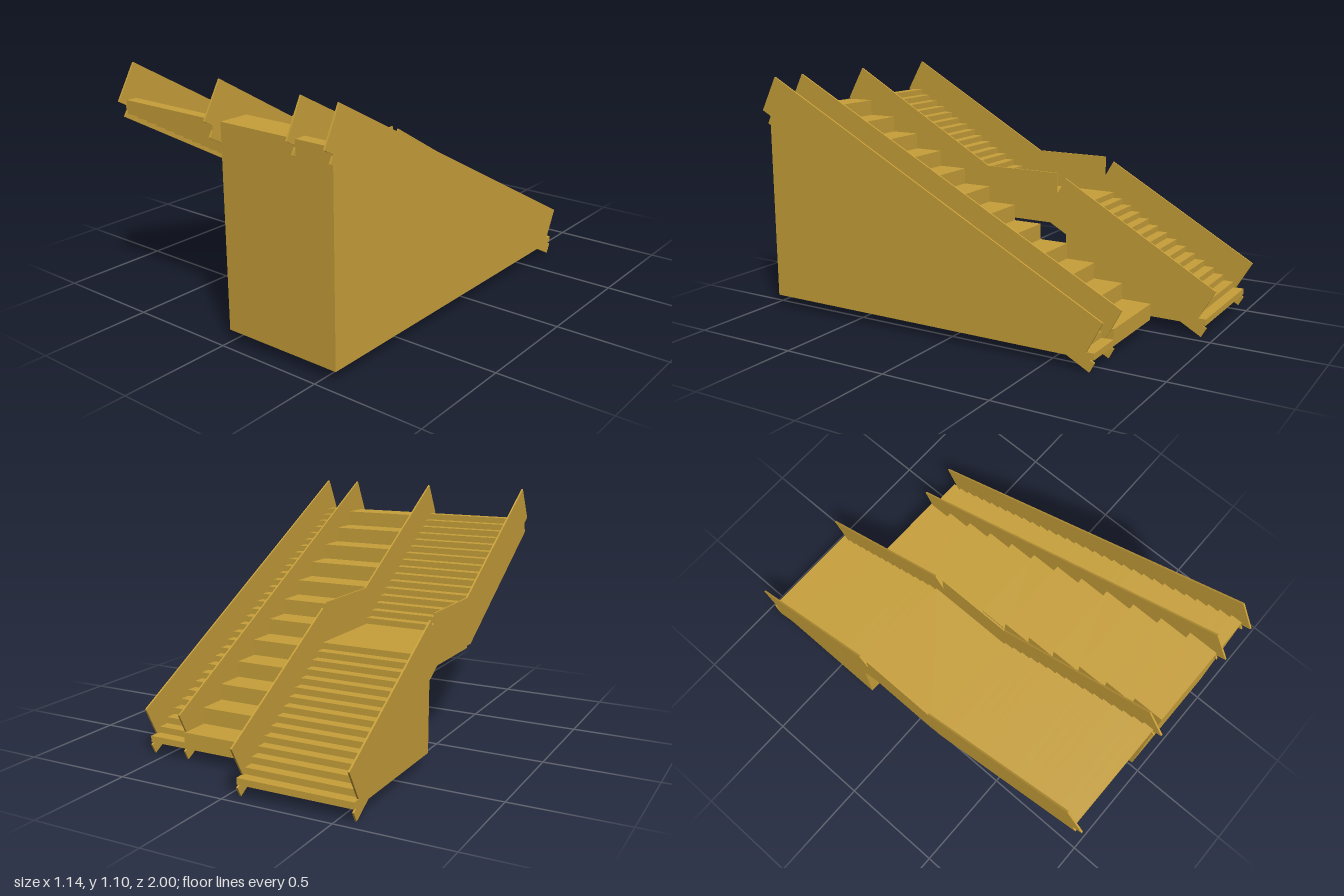
import * as THREE from 'three';

const ochre = new THREE.MeshStandardMaterial({ color: 0xc8a03a });
ochre.name = 'ochre';

const BASE = 0.06;          // underside of the solid flights
const TOP = 0.948;          // upper floor level
const RISE = (TOP - BASE) / 31;
const RAIL = 0.178;         // rail height, square to its slope
const STRINGER = 0.049;     // stringer depth below the rail
const THICK = 0.008;

// Extrude a side profile of [z, y] points between two x positions
function slab(name, points, x0, x1) {
  const shape = new THREE.Shape(points.map(([z, y]) => new THREE.Vector2(z, y)));
  const geo = new THREE.ExtrudeGeometry(shape, { depth: x1 - x0, bevelEnabled: false });
  geo.rotateY(-Math.PI / 2);
  geo.translate(x1, 0, 0);
  const mesh = new THREE.Mesh(geo, ochre);
  mesh.name = name;
  return mesh;
}

// Stepped outline climbing towards +z
function stepLine(z, y, count, tread, rise) {
  const pts = [[z, y]];
  for (let i = 0; i < count; i++) {
    pts.push([z + i * tread, y + (i + 1) * rise], [z + (i + 1) * tread, y + (i + 1) * rise]);
  }
  return pts;
}

// Solid flight with a flat underside
function solidFlight(name, z0, z1, count, rise, x0, x1) {
  const pts = stepLine(z0, BASE, count, (z1 - z0) / count, rise);
  return slab(name, [...pts, [z1, BASE]], x0, x1);
}

// Sloping band: starts at a point on its lower edge, ends cut square to the slope
function band([z0, y0], [z1, y1], height) {
  const a = Math.atan2(y1 - y0, z1 - z0);
  const dz = -Math.sin(a) * height, dy = Math.cos(a) * height;
  return [[z0, y0], [z1, y1], [z1 + dz, y1 + dy], [z0 + dz, y0 + dy]];
}

export function createModel() {
  const model = new THREE.Group();
  model.name = 'doubleStaircase';

  // Straight flight: broad seating steps beside narrow walking steps
  const straight = new THREE.Group();
  straight.name = 'straightFlight';
  straight.add(solidFlight('broadSteps', -0.72, 0.955, 12, (TOP - BASE) / 12, 0, 0.385));
  straight.add(solidFlight('narrowSteps', -0.72, 0.955, 31, RISE, 0.385, 0.569));
  for (const x of [0.381, 0.561]) {
    straight.add(slab('straightRail', band([-0.672, 0.063], [1.0, 0.947], RAIL), x, x + THICK));
    straight.add(slab('straightStringer', band([-0.70, 0.005], [0.97, 0.888], STRINGER), x, x + THICK));
  }
  model.add(straight);

  // Flight broken by a landing
  const broken = new THREE.Group();
  broken.name = 'landingFlight';
  const xL = -0.572, xR = -0.047, tread = 0.0492;
  const landing = BASE + 15 * RISE, zA = -0.27, zB = 0.167;
  broken.add(solidFlight('lowerSteps', -0.96, zA, 14, RISE, xL, xR));
  broken.add(slab('landing', [[zA, landing - 0.06], [zB, landing - 0.06], [zB, landing], [zA, landing]], xL, xR));

  // Open upper steps, each two risers thick
  for (let i = 0; i < 16; i++) {
    const z = zB + i * tread, y = landing + (i + 1) * RISE;
    broken.add(slab('upperStep', [[z, y - 0.06], [z + tread, y - 0.06], [z + tread, y], [z, y]], xL, xR));
  }

  // Rails and stringers on both sides
  for (const x of [xL, xR - THICK]) {
    const add = (name, pts) => broken.add(slab(name, pts, x, x + THICK));
    add('lowerRail', band([-0.911, 0.066], [-0.176, 0.491], RAIL));
    add('lowerStringer', band([-0.94, 0.005], [-0.152, 0.449], STRINGER));
    add('upperRail', [
      [-0.22, 0.489], [0.201, 0.489], [0.995, 0.948], [0.906, 1.102], [0.153, 0.667], [-0.22, 0.667],
    ]);
    add('upperStringer', [
      [-0.22, 0.44], [0.212, 0.44], [0.97, 0.878], [0.945, 0.919], [0.201, 0.489], [-0.22, 0.489],
    ]);
  }
  model.add(broken);

  return model;
}
